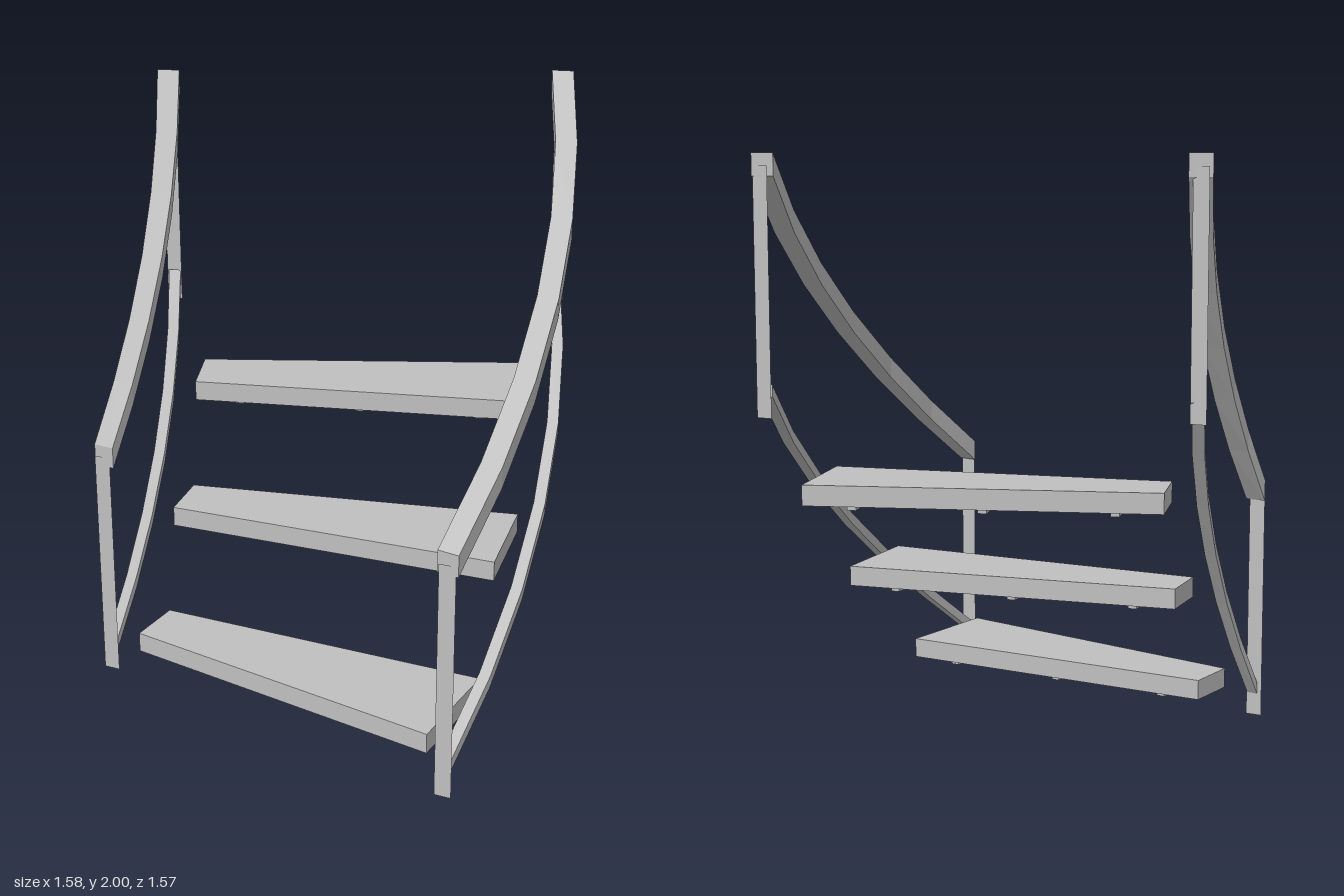
import * as THREE from 'three';

const grey = new THREE.MeshStandardMaterial({ color: 0xc0c0c0, side: THREE.DoubleSide });
grey.name = 'plain grey';

const lerp = THREE.MathUtils.lerp;

function mesh(name, geometry) {
  const m = new THREE.Mesh(geometry, grey);
  m.name = name;
  return m;
}

// Faceted bar of rectangular section climbing along an arc
function railGeometry(arc, size, yStart, yEnd) {
  const steps = 6, h = size / 2, rings = [];
  for (let i = 0; i <= steps; i++) {
    const t = i / steps;
    const a = lerp(arc.from, arc.to, t);
    const tilt = lerp(arc.tiltFrom, arc.tiltTo, t);
    const x = arc.cx + arc.r * Math.cos(a), z = arc.cz + arc.r * Math.sin(a);
    const y = lerp(yStart, yEnd, t);
    const dx = h, dz = h * Math.tan(tilt);
    rings.push([[-1, -1], [1, -1], [1, 1], [-1, 1]].map(([s, v]) => [x + s * dx, y + v * h, z + s * dz]));
  }
  const pos = [];
  const quad = (a, b, c, d) => pos.push(...a, ...b, ...c, ...a, ...c, ...d);
  for (let i = 0; i < steps; i++) {
    const p = rings[i], q = rings[i + 1];
    for (let k = 0; k < 4; k++) {
      const n = (k + 1) % 4;
      quad(p[k], q[k], q[n], p[n]);
    }
  }
  quad(...rings[0]);
  quad(...[...rings[steps]].reverse());
  const g = new THREE.BufferGeometry();
  g.setAttribute('position', new THREE.Float32BufferAttribute(pos, 3));
  g.computeVertexNormals();
  return g;
}

// Flat upright post
function post(name, x, z, yBottom, yTop) {
  const m = mesh(name, new THREE.PlaneGeometry(0.057, yTop - yBottom));
  m.position.set(x, (yBottom + yTop) / 2, z);
  return m;
}

function railing(name, arc, front, back) {
  const g = new THREE.Group();
  g.name = name;
  g.add(
    mesh('handrail', railGeometry(arc, 0.074, 0.822, 1.963)),
    mesh('lowerRail', railGeometry(arc, 0.04, 0.1, 1.24)),
    post('frontPost', front[0], front[1], 0, 0.82),
    post('backPost', back[0], back[1], 1.15, 1.96)
  );
  return g;
}

// Tapered step: corners [x, z] are back right, back left, front left, front right
function step(name, corners, yBottom, barXs) {
  const g = new THREE.Group();
  g.name = name;
  const shape = new THREE.Shape(corners.map(([x, z]) => new THREE.Vector2(x, -z)));
  const board = mesh('tread', new THREE.ExtrudeGeometry(shape, { depth: 0.07, bevelEnabled: false }));
  board.rotation.x = -Math.PI / 2;
  board.position.y = yBottom;
  g.add(board);

  // Support bars under the board, running front to back
  const [br, bl, fl, fr] = corners;
  const edgeZ = (p, q, x) => lerp(p[1], q[1], (x - p[0]) / (q[0] - p[0]));
  const slope = ((bl[1] - br[1]) / (bl[0] - br[0]) + (fl[1] - fr[1]) / (fl[0] - fr[0])) / 2;
  const angle = -Math.atan(slope);
  for (const x of barXs) {
    const zb = edgeZ(br, bl, x), zf = edgeZ(fr, fl, x);
    const bar = mesh('supportBar', new THREE.BoxGeometry(0.03, 0.016, (zf - zb) * Math.cos(angle) - 0.055));
    bar.position.set(x, yBottom - 0.008, (zb + zf) / 2);
    bar.rotation.y = angle;
    g.add(bar);
  }
  return g;
}

export function createModel() {
  const model = new THREE.Group();
  model.name = 'curvedStair';

  model.add(
    step('lowerStep', [[-0.54, 0.29], [0.647, 0.302], [0.61, 0.702], [-0.557, 0.485]], 0.088, [-0.388, 0.04, 0.472]),
    step('middleStep', [[-0.563, 0.035], [0.6, -0.2], [0.647, 0.187], [-0.54, 0.235]], 0.472, [-0.395, 0.037, 0.465]),
    step('upperStep', [[-0.65, -0.245], [0.455, -0.685], [0.573, -0.313], [-0.577, -0.027]], 0.852, [-0.462, -0.05, 0.362])
  );

  // Outer and inner railings
  model.add(
    railing('leftRailing',
      { cx: -1.75, cz: 0.27, r: 2.5, from: 0.206, to: -0.432, tiltFrom: 0.18, tiltTo: -0.22 },
      [0.698, 0.787], [0.526, -0.783]),
    railing('rightRailing',
      { cx: -1.843, cz: 0.28, r: 1.2, from: 0.177, to: -0.443, tiltFrom: 0.1, tiltTo: -0.31 },
      [-0.667, 0.495], [-0.762, -0.238])
  );
  return model;
}
